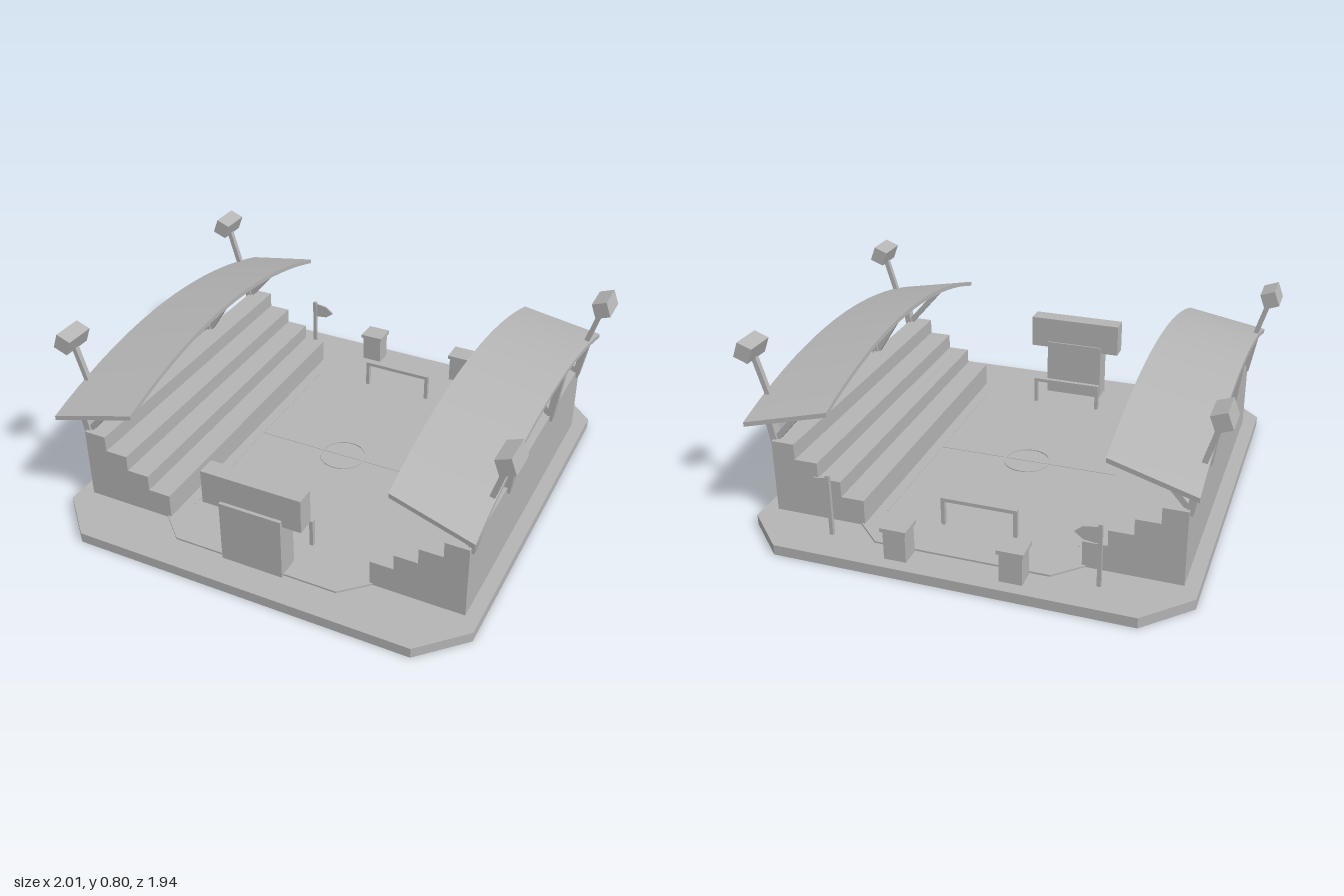
import * as THREE from 'three';

const INNER = 0.565, OUTER = 0.92, SAG = 0.135, THICK = 0.02;

// height of the canopy's top surface at distance x from the middle
function roofTop(x, z) {
  const t = (x - INNER) / (OUTER - INNER);
  const u = z / (0.785 + 0.04 * t);
  return 0.715 - 0.08 * t - SAG * u * u;
}

export function createModel() {
  const model = new THREE.Group();
  const grey = new THREE.MeshStandardMaterial({ color: 0xb4b4b4 });
  grey.name = 'grey';
  const greySheet = grey;

  function add(name, geometry, parent = model) {
    const mesh = new THREE.Mesh(geometry, greySheet);
    mesh.name = name;
    parent.add(mesh);
    return mesh;
  }

  // axis-aligned box given by its limits
  function box(name, x0, x1, y0, y1, z0, z1, parent) {
    const g = new THREE.BoxGeometry(x1 - x0, y1 - y0, z1 - z0);
    g.translate((x0 + x1) / 2, (y0 + y1) / 2, (z0 + z1) / 2);
    return add(name, g, parent);
  }

  // slanted beam in a plane of constant z
  function beam(name, x0, y0, x1, y1, z, width, depth, parent) {
    const g = new THREE.BoxGeometry(width, Math.hypot(x1 - x0, y1 - y0), depth);
    const mesh = add(name, g, parent);
    mesh.position.set((x0 + x1) / 2, (y0 + y1) / 2, z);
    mesh.rotation.z = -Math.atan2(x1 - x0, y1 - y0);
    return mesh;
  }

  // flat slab with cut corners
  function octagonSlab(name, x, z, cx, cz, y0, y1) {
    const corners = [[x, cz], [cx, z], [-cx, z], [-x, cz], [-x, -cz], [-cx, -z], [cx, -z], [x, -cz]];
    const shape = new THREE.Shape(corners.map(([a, b]) => new THREE.Vector2(a, b)));
    const g = new THREE.ExtrudeGeometry(shape, { depth: y1 - y0, bevelEnabled: false });
    g.rotateX(-Math.PI / 2);
    g.translate(0, y0, 0);
    return add(name, g);
  }

  octagonSlab('base', 0.93, 0.97, 0.75, 0.79, 0, 0.045);
  octagonSlab('pitch', 0.48, 0.825, 0.37, 0.72, 0.04, 0.053);

  // pitch markings
  const ring = new THREE.Shape().absarc(0, 0, 0.106, 0, Math.PI * 2);
  ring.holes.push(new THREE.Path().absarc(0, 0, 0.098, 0, Math.PI * 2, true));
  const ringGeometry = new THREE.ExtrudeGeometry(ring, { depth: 0.004, bevelEnabled: false, curveSegments: 24 });
  ringGeometry.rotateX(-Math.PI / 2).translate(0, 0.053, 0);
  add('centreCircle', ringGeometry);
  box('halfwayLine', -0.42, 0.42, 0.052, 0.055, -0.004, 0.004);

  for (const s of [1, -1]) {
    const side = new THREE.Group();
    side.name = s > 0 ? 'leftStand' : 'rightStand';
    model.add(side);
    box('sideline', s * 0.42 - 0.004, s * 0.42 + 0.004, 0.052, 0.055, -0.6, 0.6, side);

    // stepped seating, extruded along z
    const steps = new THREE.Shape();
    steps.moveTo(s * 0.87, 0.04);
    steps.lineTo(s * 0.465, 0.04);
    for (let i = 0; i < 4; i++) {
      const y = 0.16 + i * 0.07;
      steps.lineTo(s * (0.465 + i * 0.101), y);
      steps.lineTo(s * (0.566 + i * 0.101), y);
    }
    const stepGeometry = new THREE.ExtrudeGeometry(steps, { depth: 1.436, bevelEnabled: false });
    stepGeometry.translate(0, 0, -0.718);
    add('terrace', stepGeometry, side);

    // arched canopy sloping down to the outside
    const roof = new THREE.BoxGeometry(OUTER - INNER, THICK, 2, 1, 1, 20);
    const p = roof.attributes.position;
    for (let i = 0; i < p.count; i++) {
      const x = s * p.getX(i) + (INNER + OUTER) / 2;
      const t = (x - INNER) / (OUTER - INNER);
      const z = p.getZ(i) * (0.785 + 0.04 * t);
      p.setXYZ(i, s * x, roofTop(x, z) - THICK / 2 + p.getY(i), z);
    }
    roof.computeVertexNormals();
    add('canopy', roof, side);

    // leaning posts with braces
    for (const z of [-0.68, -0.28, 0.28, 0.68]) {
      const postTop = roofTop(0.9, z) - 0.012;
      beam('post', s * 0.865, 0.345, s * 0.9, postTop, z, 0.03, 0.042, side);
      beam('brace', s * 0.86, 0.37, s * 0.68, roofTop(0.68, z) - 0.015, z, 0.025, 0.025, side);
    }

    // floodlights
    for (const z of [-0.65, 0.61]) {
      beam('lightPole', s * 0.895, 0.53, s * 0.957, 0.74, z, 0.022, 0.022, side);
      const lamp = add('floodlight', new THREE.BoxGeometry(0.067, 0.07, 0.135), side);
      lamp.position.set(s * 0.959, 0.751, z);
      lamp.rotation.z = s * 0.36;
    }

    // kiosk behind the back line
    const k = s * 0.24;
    box('kiosk', k - 0.047, k + 0.047, 0.04, 0.175, -0.915, -0.83, side);
    box('kioskRoof', k - 0.055, k + 0.055, 0.173, 0.19, -0.925, -0.823, side);

    // flag on a pole, streaming towards +x
    const f = s * 0.563;
    box('flagPole', f - 0.008, f + 0.008, 0.04, 0.32, -0.828, -0.812, side);
    const flag = new THREE.Shape();
    flag.moveTo(f, 0.237);
    flag.lineTo(f + 0.063, 0.244);
    flag.lineTo(f + 0.1, 0.272);
    flag.lineTo(f + 0.063, 0.302);
    flag.lineTo(f, 0.31);
    const flagGeometry = new THREE.ExtrudeGeometry(flag, { depth: 0.008, bevelEnabled: false });
    flagGeometry.translate(0, 0, -0.828);
    add('flag', flagGeometry, side);
  }

  // goals
  for (const s of [1, -1]) {
    const goal = new THREE.Group();
    goal.name = s > 0 ? 'frontGoal' : 'backGoal';
    model.add(goal);
    const z = s * 0.612;
    for (const x of [-0.157, 0.157]) {
      box('goalPost', x - 0.008, x + 0.008, 0.05, 0.165, z - 0.01, z + 0.01, goal);
    }
    box('crossbar', -0.165, 0.165, 0.163, 0.179, z - 0.01, z + 0.01, goal);
  }

  // scoreboard at the front
  box('scoreboardStand', -0.138, 0.138, 0.04, 0.325, 0.738, 0.84);
  box('scoreboard', -0.222, 0.222, 0.295, 0.447, 0.745, 0.825);

  return model;
}
